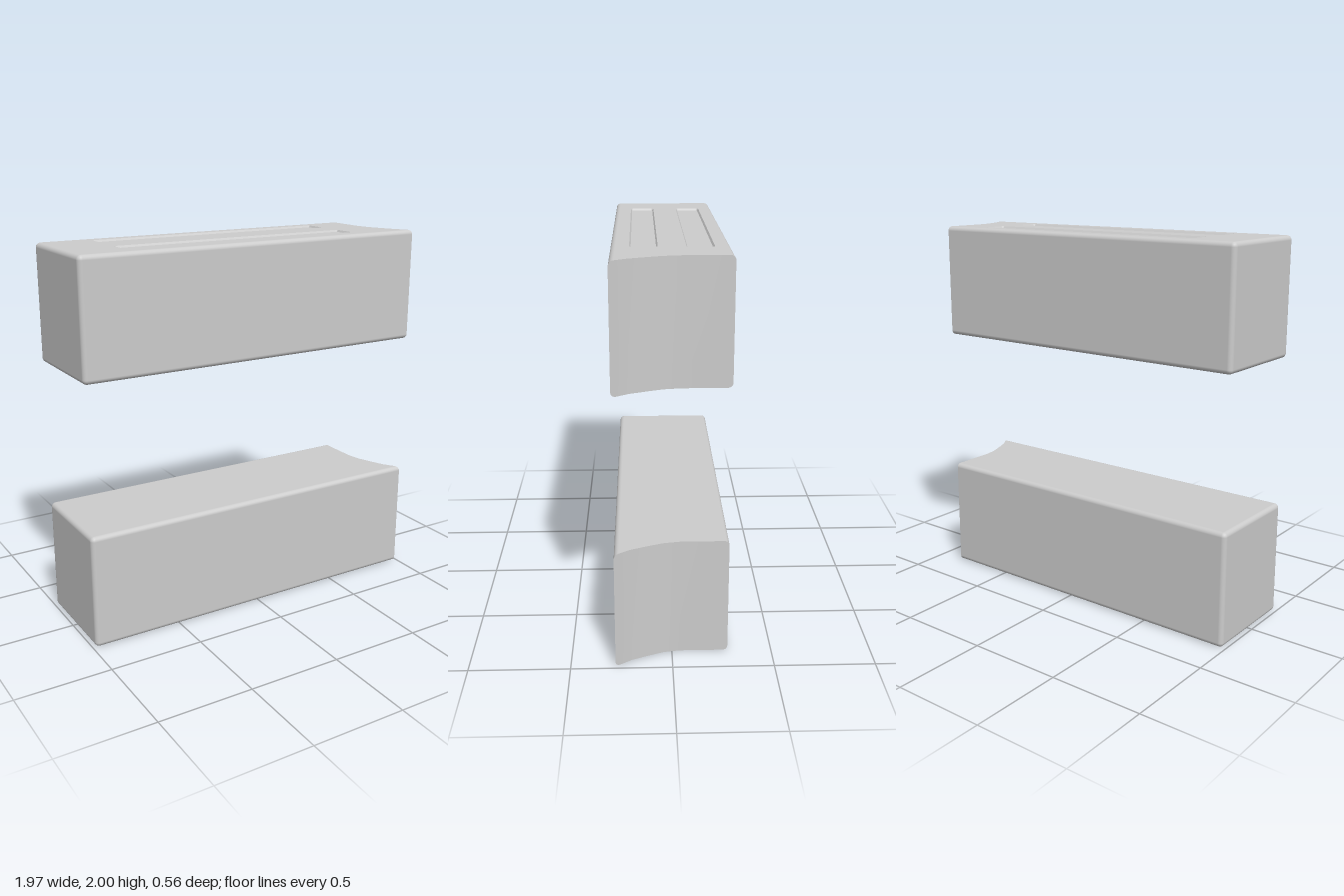
import * as THREE from 'three';

const L = 0.985, H = 0.305, W = 0.28, R = 0.024, STEPS = 5;
// outline of the scooped end: [z, x]
const SCOOP = [[-0.28, 0.855], [-0.04, 0.855], [0.04, 0.868], [0.12, 0.898], [0.2, 0.932], [0.28, 0.985]];

function endX(z) {
  for (let i = 1; i < SCOOP.length; i++) {
    const [z0, x0] = SCOOP[i - 1], [z1, x1] = SCOOP[i];
    if (z <= z1) return x0 + (x1 - x0) * (z - z0) / (z1 - z0);
  }
  return L;
}

function makeGeometry(positions, index, normals) {
  const g = new THREE.BufferGeometry();
  g.setAttribute('position', new THREE.Float32BufferAttribute(positions, 3));
  g.setIndex(index);
  if (normals) g.setAttribute('normal', new THREE.Float32BufferAttribute(normals, 3));
  else g.computeVertexNormals();
  return g;
}

// rounded corners of the beam's cross-section, going from +z through +y
function sectionPoints() {
  const pts = [];
  [[1, 1], [-1, 1], [-1, -1], [1, -1]].forEach(([sz, sy], c) => {
    for (let k = 0; k <= STEPS; k++) {
      const a = (c + k / STEPS) * Math.PI / 2;
      pts.push({ cz: sz * (W - R), cy: sy * (H - R), dz: Math.cos(a), dy: Math.sin(a) });
    }
  });
  return pts;
}

// sides and rounded edges; top and bottom flats are left open for the panels
function shellGeometry() {
  const pts = sectionPoints(), n = pts.length, pos = [], nor = [], idx = [];
  for (let j = 0; j <= STEPS + 1; j++) {
    const t = Math.max(0, 1 - j / STEPS) * Math.PI / 2, c = Math.cos(t), s = Math.sin(t);
    for (const p of pts) {
      const z = p.cz + p.dz * R * c;
      pos.push(j > STEPS ? endX(z) : -L + R - R * s, p.cy + p.dy * R * c, z);
      nor.push(-s, p.dy * c, p.dz * c);
    }
  }
  for (let j = 0; j <= STEPS; j++) {
    for (let i = 0; i < n; i++) {
      if (j === STEPS && (i === STEPS || i === 3 * STEPS + 2)) continue;
      const k = (i + 1) % n, a = j * n + i, b = j * n + k;
      idx.push(a, a + n, b + n, a, b + n, b);
    }
  }
  return makeGeometry(pos, idx, nor);
}

// concave end, made of vertical strips
function scoopGeometry() {
  const cols = sectionPoints().slice(0, 2 * STEPS + 2).map(p => [p.cz + p.dz * R, p.cy + p.dy * R]);
  SCOOP.slice(1, -1).forEach(([z]) => cols.push([z, H]));
  cols.sort((a, b) => b[0] - a[0]);
  const pos = [], idx = [];
  cols.forEach(([z, h], k) => {
    pos.push(endX(z), -h, z, endX(z), h, z);
    if (k) {
      const a = 2 * k - 2;
      idx.push(a, a + 2, a + 3, a, a + 3, a + 1);
    }
  });
  return makeGeometry(pos, idx);
}

// outline of a groove, shrunk by inset
function groovePoints(cy, inset) {
  const x0 = -0.71 + inset, x1 = 0.633 - inset, h = 0.066 - inset, r = 0.014 - inset;
  const pts = [];
  [[x1 - r, h - r], [x0 + r, h - r], [x0 + r, r - h], [x1 - r, r - h]].forEach(([x, y], c) => {
    for (let k = 0; k <= 3; k++) {
      const a = (c + k / 3) * Math.PI / 2;
      pts.push(new THREE.Vector2(x + r * Math.cos(a), cy + y + r * Math.sin(a)));
    }
  });
  return pts;
}

// sloped wall between a groove's rim and its floor
function grooveWall(rim, floor, depth) {
  const pos = [], idx = [], n = rim.length;
  rim.forEach((p, i) => {
    const k = (i + 1) % n;
    pos.push(p.x, p.y, 0, floor[i].x, floor[i].y, -depth);
    idx.push(2 * i, 2 * k, 2 * k + 1, 2 * i, 2 * k + 1, 2 * i + 1);
  });
  return makeGeometry(pos, idx);
}

export function createModel() {
  const grey = new THREE.MeshStandardMaterial({ color: 0xcccccc });
  grey.name = 'light grey';
  const root = new THREE.Group();
  root.name = 'beamPair';

  const add = (parent, geometry, name) => {
    const mesh = new THREE.Mesh(geometry, grey);
    mesh.name = name;
    parent.add(mesh);
    return mesh;
  };

  // flat face on side s (+1 top, -1 bottom), optionally with two grooves
  const addPanel = (beam, s, grooved) => {
    const z = W - R;
    const outline = [[-L + R, -z], [endX(-z), -z], ...SCOOP.slice(1, -1).map(([a, b]) => [b, a]),
      [endX(z), z], [-L + R, z]];
    const shape = new THREE.Shape(outline.map(([x, pz]) => new THREE.Vector2(x, -s * pz)));
    const place = (g) => g.rotateX(-s * Math.PI / 2).translate(0, s * H, 0);
    if (grooved) {
      for (const gz of [-0.138, 0.126]) {
        const rim = groovePoints(-s * gz, 0), floor = groovePoints(-s * gz, 0.007), depth = 0.01;
        shape.holes.push(new THREE.Path(rim));
        add(beam, place(grooveWall(rim, floor, depth)), 'grooveWall');
        add(beam, place(new THREE.ShapeGeometry(new THREE.Shape(floor)).translate(0, 0, -depth)), 'grooveFloor');
      }
    }
    add(beam, place(new THREE.ShapeGeometry(shape)), s > 0 ? 'topPanel' : 'bottomPanel');
  };

  // two mirrored beams, grooved on their outer faces
  for (const s of [1, -1]) {
    const beam = new THREE.Group();
    beam.name = s > 0 ? 'upperBeam' : 'lowerBeam';
    beam.position.y = 1 + s * (1 - H);
    add(beam, shellGeometry(), 'shell');
    add(beam, scoopGeometry(), 'scoopedEnd');
    const cap = new THREE.PlaneGeometry(2 * (W - R), 2 * (H - R)).rotateY(-Math.PI / 2).translate(-L, 0, 0);
    add(beam, cap, 'flatEnd');
    addPanel(beam, 1, s > 0);
    addPanel(beam, -1, s < 0);
    root.add(beam);
  }
  return root;
}
